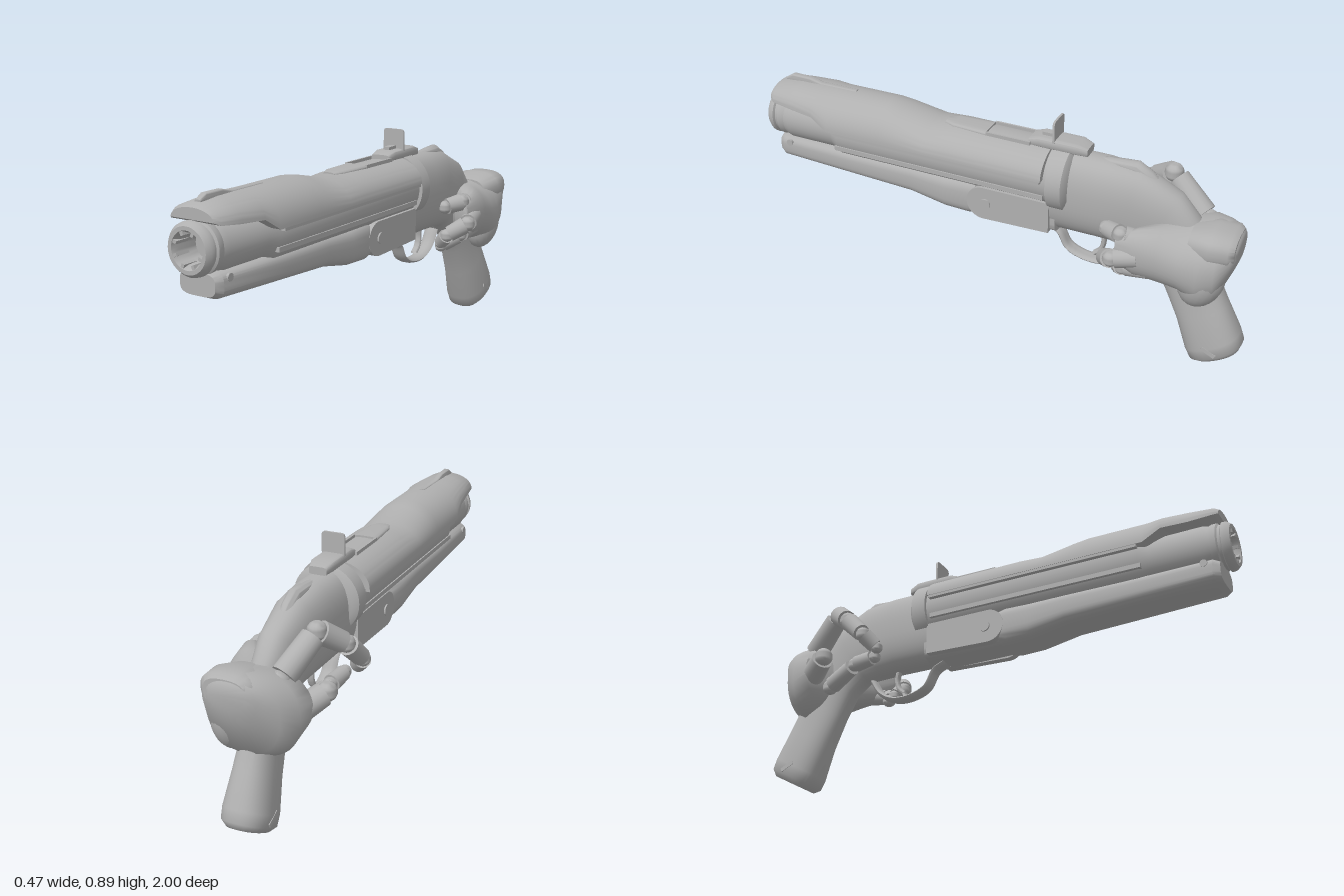
import * as THREE from 'three';
import { toCreasedNormals } from 'three/addons/utils/BufferGeometryUtils.js';

const CX = 0.017; // centre line of the weapon

export function createModel() {
  const model = new THREE.Group();
  const grey = new THREE.MeshStandardMaterial({ color: 0xb0b0b0, side: THREE.DoubleSide });
  grey.name = 'grey';

  const add = (name, geo, x = 0, y = 0, z = 0, crease = 0.6, parent = model) => {
    const mesh = new THREE.Mesh(toCreasedNormals(geo, crease), grey);
    mesh.name = name;
    mesh.position.set(x, y, z);
    parent.add(mesh);
    return mesh;
  };

  // Skin over superellipse rings [x, y, z, halfWidth, halfHeight, tiltDegrees], running front to back
  const loft = (rings, power = 2, arc = Math.PI * 2, seg = 40) => {
    const pos = [], idx = [], n = rings.length;
    const bend = (v) => Math.sign(v) * Math.pow(Math.abs(v), 2 / power);
    for (const [x, y, z, w, h, tilt = 0] of rings) {
      const a = THREE.MathUtils.degToRad(tilt);
      for (let j = 0; j < seg; j++) {
        const t = arc > 6 ? (j / seg) * arc : (j / (seg - 1)) * arc;
        const u = bend(Math.sin(t)) * h;
        pos.push(x + bend(Math.cos(t)) * w, y + u * Math.cos(a), z - u * Math.sin(a));
      }
    }
    for (let i = 0; i < n - 1; i++) {
      for (let j = 0; j < seg; j++) {
        const k = (j + 1) % seg, a = i * seg + j, b = i * seg + k, c = a + seg, d = b + seg;
        idx.push(a, c, b, b, c, d);
      }
    }
    for (let j = 1; j < seg - 1; j++) {
      const e = (n - 1) * seg;
      idx.push(0, j, j + 1, e, e + j + 1, e + j);
    }
    const g = new THREE.BufferGeometry();
    g.setAttribute('position', new THREE.Float32BufferAttribute(pos, 3));
    g.setIndex(idx);
    return g;
  };

  // Lathe profile [radius, z] turned round the barrel axis
  const turned = (pts) =>
    new THREE.LatheGeometry(pts.map((p) => new THREE.Vector2(...p)), 40).rotateX(Math.PI / 2);

  // Barrel body and the narrower nose
  add('barrelBody', turned([[0, -0.24], [0.118, -0.24], [0.118, 0.66], [0.098, 0.7], [0.098, 0.9], [0.085, 0.94]]), CX, 0.657, 0);
  add('muzzle', turned([[0.08, 0.9], [0.094, 0.93], [0.094, 0.95], [0.086, 0.955], [0.086, 0.965], [0.094, 0.97],
    [0.092, 0.985], [0.08, 1], [0.066, 1], [0.055, 0.975], [0.05, 0.9], [0, 0.9]]), CX, 0.66, 0);
  for (let i = 0; i < 8; i++) {
    const a = (i / 8) * Math.PI * 2 + Math.PI / 8;
    const fin = add('muzzleFin', new THREE.BoxGeometry(0.02, 0.012, 0.06), CX + Math.cos(a) * 0.06, 0.66 + Math.sin(a) * 0.06, 0.968);
    fin.rotation.z = a;
  }

  // Arched upper shroud: full width at the back, cut away at the nose
  add('upperShroud', loft([
    [CX, 0.755, 0.97, 0.09, 0.04], [CX, 0.745, 0.95, 0.106, 0.062], [CX, 0.735, 0.86, 0.116, 0.08],
    [CX, 0.73, 0.76, 0.13, 0.086], [CX, 0.685, 0.69, 0.139, 0.131], [CX, 0.685, 0.46, 0.139, 0.131],
    [CX, 0.685, 0.4, 0.139, 0.122], [CX, 0.685, 0.27, 0.139, 0.093], [CX, 0.685, 0.17, 0.139, 0.1], [CX, 0.685, -0.22, 0.139, 0.097],
  ], 2.05, Math.PI));
  for (const s of [-1, 1]) {
    add('sideRail', new THREE.BoxGeometry(0.035, 0.018, 0.89), CX + s * 0.098, 0.607, 0.225);
    add('edgeRail', new THREE.BoxGeometry(0.018, 0.016, 0.88), CX + s * 0.128, 0.682, 0.225);
    add('insetWall', new THREE.BoxGeometry(0.008, 0.04, 0.18), CX + s * 0.046, 0.771, -0.05);
  }
  add('topInset', loft([[CX, 0.775, 0.22, 0.025, 0.012], [CX, 0.777, 0.18, 0.042, 0.014],
    [CX, 0.777, 0.04, 0.05, 0.014]], 4));

  // Sights
  add('frontSight', loft([[CX, 0.805, 0.94, 0.012, 0.01], [CX, 0.81, 0.91, 0.014, 0.023],
    [CX, 0.81, 0.83, 0.014, 0.022], [CX, 0.803, 0.78, 0.013, 0.016], [CX, 0.803, 0.62, 0.012, 0.016]], 5));
  add('rearSightBase', loft([[CX, 0.785, -0.13, 0.04, 0.015], [CX, 0.793, -0.17, 0.046, 0.02],
    [CX, 0.793, -0.32, 0.046, 0.02], [CX, 0.785, -0.36, 0.035, 0.015]], 5));
  const leaf = new THREE.Shape();
  leaf.moveTo(-0.046, 0).lineTo(0.046, 0).lineTo(0.046, 0.07).quadraticCurveTo(0.046, 0.085, 0.03, 0.085);
  leaf.lineTo(-0.03, 0.085).quadraticCurveTo(-0.046, 0.085, -0.046, 0.07);
  add('rearSightLeaf', new THREE.ExtrudeGeometry(leaf, { depth: 0.008, bevelEnabled: false }), CX, 0.805, -0.235);
  add('sightPost', new THREE.BoxGeometry(0.026, 0.03, 0.05), CX, 0.81, -0.2);

  // Collar between barrel and receiver
  add('collar', turned([[0, -0.31], [0.11, -0.31], [0.132, -0.295], [0.132, -0.235], [0.11, -0.235]]), CX, 0.655, 0);

  // Forend under the barrel
  add('forend', loft([
    [CX, 0.54, 0.955, 0.075, 0.04], [CX, 0.54, 0.93, 0.092, 0.05], [CX, 0.53, 0.6, 0.095, 0.055],
    [CX, 0.525, 0.35, 0.096, 0.062], [CX, 0.51, 0.2, 0.1, 0.076], [CX, 0.51, 0.1, 0.1, 0.08], [CX, 0.51, 0.07, 0.094, 0.075],
  ], 3.4));
  add('hingeBlock', loft([[CX, 0.51, 0.1, 0.085, 0.07], [CX, 0.51, -0.26, 0.085, 0.072]], 4));
  for (const s of [-1, 1]) {
    // Hinge plate with rounded front, pin and forend screw
    const plate = new THREE.Shape();
    plate.moveTo(-0.25, -0.06).lineTo(0.02, -0.068).absarc(0.02, 0, 0.068, -Math.PI / 2, Math.PI / 2, false).lineTo(-0.25, 0.068);
    const g = new THREE.ExtrudeGeometry(plate, { depth: 0.03, bevelEnabled: false, curveSegments: 20 })
      .translate(0, 0, -0.015).rotateY(-Math.PI / 2);
    add('hingePlate', g, CX + s * 0.085, 0.51, 0.01);
    add('hingePin', new THREE.CylinderGeometry(0.022, 0.022, 0.012, 20).rotateZ(Math.PI / 2), CX + s * 0.1, 0.51, 0.02);
    add('forendScrew', new THREE.CylinderGeometry(0.014, 0.014, 0.01, 16).rotateZ(Math.PI / 2), CX + s * 0.09, 0.565, 0.9);
  }

  // Receiver flowing down into the pistol grip
  add('receiverAndGrip', loft([
    [CX, 0.605, -0.235, 0.098, 0.165, 0], [CX, 0.605, -0.42, 0.097, 0.165, 2], [CX, 0.597, -0.53, 0.09, 0.164, 12],
    [CX, 0.56, -0.64, 0.076, 0.147, 30], [CX, 0.475, -0.725, 0.064, 0.134, 46], [CX, 0.34, -0.775, 0.063, 0.107, 58],
    [CX, 0.22, -0.832, 0.074, 0.106, 62], [CX, 0.1, -0.883, 0.089, 0.113, 62], [CX, 0.06, -0.901, 0.087, 0.11, 62],
    [CX, 0.04, -0.91, 0.065, 0.09, 62],
  ], 2.4), 0, 0, 0, 0.8);
  add('tang', loft([[CX, 0.757, -0.38, 0.015, 0.01], [CX, 0.762, -0.48, 0.025, 0.014, 5],
    [CX, 0.755, -0.54, 0.027, 0.028, 12], [CX, 0.73, -0.59, 0.024, 0.024, 25], [CX, 0.705, -0.63, 0.015, 0.012, 35]], 2.2), 0, 0, 0, 1);
  add('gripButton', new THREE.BoxGeometry(0.18, 0.016, 0.06).rotateX(-0.45), CX, 0.09, -0.89);

  // Trigger guard and trigger
  const path = (pts) => new THREE.CatmullRomCurve3(pts.map(([y, z]) => new THREE.Vector3(0, y, z)));
  const guard = path([[0.44, -0.2], [0.415, -0.25], [0.35, -0.29], [0.322, -0.36], [0.325, -0.44], [0.36, -0.5], [0.42, -0.54]]);
  add('triggerGuard', new THREE.TubeGeometry(guard, 40, 0.011, 10).scale(2.8, 1, 1), CX, 0, 0);
  const trigger = path([[0.46, -0.42], [0.41, -0.43], [0.37, -0.42], [0.345, -0.395]]);
  add('trigger', new THREE.TubeGeometry(trigger, 16, 0.01, 10).scale(1.5, 1, 1), CX, 0, 0);

  // Hand: palm wrapped round the neck of the grip, open on one side
  const hand = new THREE.Group();
  hand.name = 'hand';
  model.add(hand);
  add('palm', loft([
    [0.165, 0.5, -0.53, 0.03, 0.06], [0.15, 0.495, -0.6, 0.058, 0.095], [0.1, 0.485, -0.68, 0.1, 0.112],
    [0.015, 0.465, -0.76, 0.178, 0.13], [0.015, 0.45, -0.83, 0.168, 0.162], [0.03, 0.47, -0.89, 0.14, 0.15],
    [0.05, 0.535, -0.94, 0.1, 0.08], [0.05, 0.55, -0.955, 0.07, 0.05],
  ], 2.2), 0, 0, 0, 1.2, hand);
  add('palmHeel', new THREE.SphereGeometry(1, 24, 16).scale(0.075, 0.12, 0.085).rotateX(-0.3), 0.1, 0.41, -0.835, 1.2, hand);
  add('wrist', loft([[0.06, 0.54, -0.78, 0.08, 0.06], [0.06, 0.555, -0.86, 0.105, 0.068],
    [0.06, 0.56, -0.93, 0.1, 0.062], [0.06, 0.56, -0.95, 0.08, 0.05]], 2.6), 0, 0, 0, 0.8, hand);

  // Jointed fingers: a tapered segment per bone and a ball per joint
  const up = new THREE.Vector3(0, 1, 0);
  const finger = (name, r, pts) => {
    const v = pts.map((p) => new THREE.Vector3(...p));
    for (let i = 0; i < v.length; i++) {
      const ri = r * (1 - 0.1 * i);
      add(name + 'Joint', new THREE.SphereGeometry(ri * 0.9, 16, 12), v[i].x, v[i].y, v[i].z, 1.2, hand);
      if (i === v.length - 1) break;
      const dir = v[i + 1].clone().sub(v[i]);
      const mid = v[i].clone().add(v[i + 1]).multiplyScalar(0.5);
      const bone = add(name + 'Bone', new THREE.CylinderGeometry(ri * 0.95, ri * 1.05, dir.length() * 0.75, 16),
        mid.x, mid.y, mid.z, 0.6, hand);
      bone.quaternion.setFromUnitVectors(up, dir.normalize());
    }
  };
  finger('thumb', 0.045, [[-0.06, 0.56, -0.8], [-0.12, 0.69, -0.64], [-0.185, 0.62, -0.55], [-0.205, 0.53, -0.46], [-0.165, 0.48, -0.42]]);
  finger('thumbBase', 0.045, [[-0.1, 0.44, -0.78], [-0.17, 0.49, -0.67]]);
  finger('innerFinger', 0.034, [[-0.07, 0.4, -0.7], [-0.12, 0.45, -0.55], [-0.13, 0.46, -0.45]]);
  finger('upperFinger', 0.038, [[0.13, 0.53, -0.64], [0.16, 0.555, -0.54], [0.12, 0.54, -0.47]]);
  finger('middleFinger', 0.038, [[0.17, 0.49, -0.62], [0.2, 0.47, -0.52], [0.13, 0.42, -0.47], [0.09, 0.38, -0.49]]);
  finger('lowerFinger', 0.034, [[0.15, 0.43, -0.66], [0.15, 0.41, -0.55], [0.08, 0.36, -0.51]]);

  return model;
}
